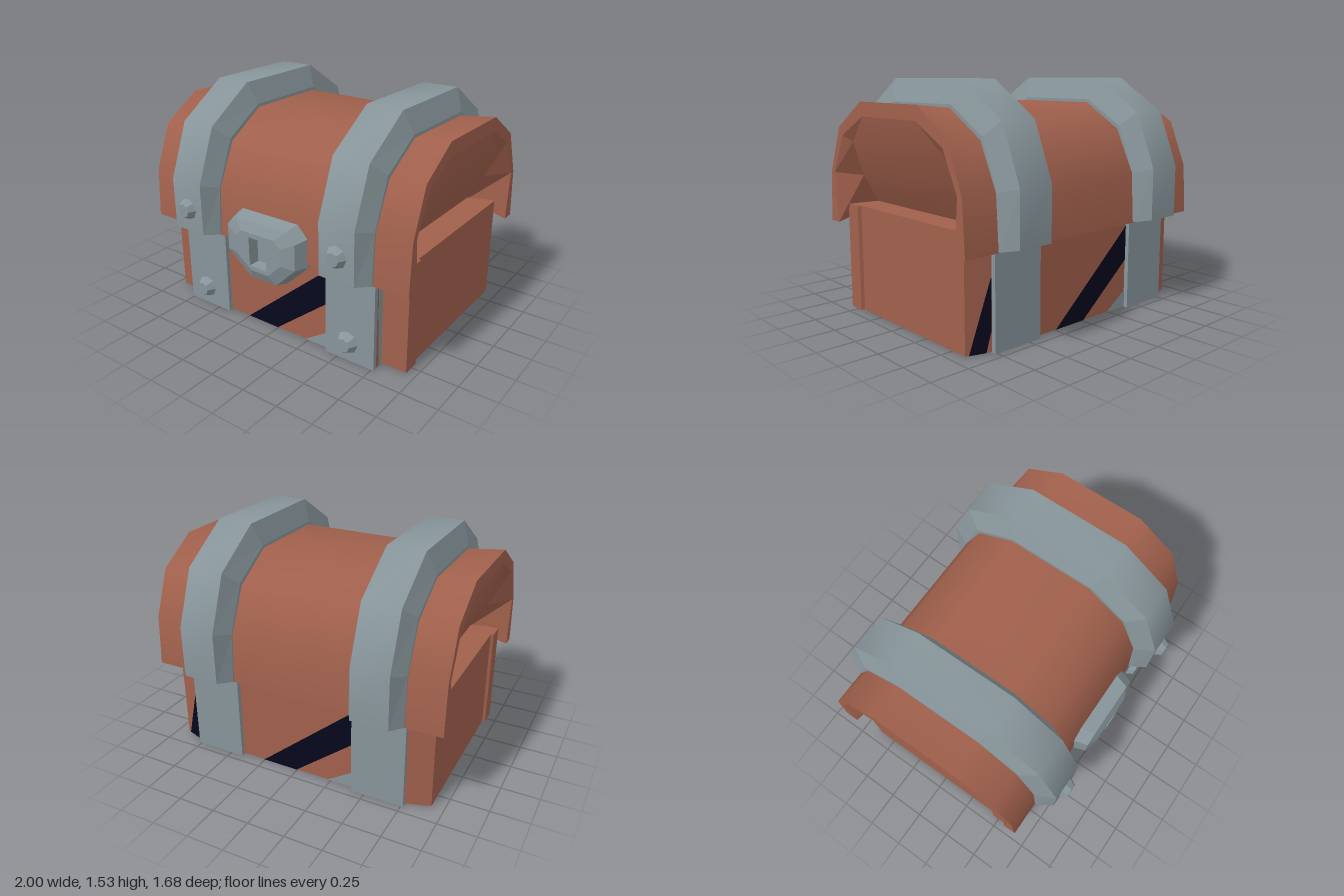
import * as THREE from 'three';

const wood = new THREE.MeshStandardMaterial({ color: 0xa0604c });
wood.name = 'wood';
const iron = new THREE.MeshStandardMaterial({ color: 0x87959a });
iron.name = 'iron';
const navy = new THREE.MeshStandardMaterial({ color: 0x07071e });
navy.name = 'navy';

const CZ = -0.02; // middle of the chest in z

// Skin a row of cross-sections, each with the same number of points
function skin(rings, smooth = false) {
  const n = rings[0].length, index = [];
  for (let i = 0; i < rings.length - 1; i++) {
    for (let j = 0; j < n - 1; j++) {
      const a = i * n + j, b = a + n;
      index.push(a, b, b + 1, a, b + 1, a + 1);
    }
  }
  let g = new THREE.BufferGeometry();
  g.setAttribute('position', new THREE.Float32BufferAttribute(rings.flat(2), 3));
  g.setIndex(index);
  if (!smooth) g = g.toNonIndexed();
  g.computeVertexNormals();
  return g;
}

// Arch section running from the front foot over the top to the back foot
function arch(half, xs) {
  const at = (k, s) => [Array.isArray(xs) ? xs[k] : xs, half[k][1], CZ + s * half[k][0]];
  const front = half.map((_, k) => at(k, 1));
  const back = half.map((_, k) => at(k, -1)).reverse();
  return [...front, ...back];
}

const flipX = ring => ring.map(([x, y, z]) => [-x, y, z]);

// Flat polygon, corners counter-clockwise seen from outside
function plate(points) {
  const index = [];
  for (let i = 1; i < points.length - 1; i++) index.push(0, i, i + 1);
  const g = new THREE.BufferGeometry();
  g.setAttribute('position', new THREE.Float32BufferAttribute(points.flat(), 3));
  g.setIndex(index);
  g.computeVertexNormals();
  return g;
}

export function createModel() {
  const model = new THREE.Group();
  model.name = 'chest';
  const add = (name, geometry, material, x = 0, y = 0, z = 0) => {
    const m = new THREE.Mesh(geometry, material);
    m.name = name;
    m.position.set(x, y, z);
    model.add(m);
  };

  // Body: plan outline with front corner posts, pulled upward
  const halfPlan = [
    [0.765, -0.67], [0.92, -0.62], [0.92, 0.445], [0.94, 0.455], [0.94, 0.57], [0.765, 0.57], [0.765, 0.63],
  ];
  const plan = [...halfPlan, ...halfPlan.map(([x, z]) => [-x, z]).reverse()]
    .map(([x, z]) => new THREE.Vector2(x, -z));
  const body = new THREE.ExtrudeGeometry(new THREE.Shape(plan), { depth: 0.705, bevelEnabled: false });
  body.rotateX(-Math.PI / 2);
  add('body', body, wood, 0, 0.005, 0);

  // Lid shell, rising a little at both ends
  const mid = [[0.71, 0.59], [0.69, 0.92], [0.56, 1.2], [0.29, 1.365]];
  const end = [[0.71, 0.59], [0.69, 0.92], [0.57, 1.22], [0.30, 1.39]];
  const midRing = arch(mid, 0.765), endRing = arch(end, 1);
  add('lidShell', skin([flipX(endRing), flipX(midRing), midRing, endRing], true), wood);
  add('lidUnderside', new THREE.BoxGeometry(1.6, 0.04, 1.38), wood, 0, 0.615, CZ);

  // Lid ends: rim, inner wall and a panel curving inward toward the bottom
  const rim = arch([[0.62, 0.59], [0.65, 0.92], [0.53, 1.17], [0.28, 1.3]], 1);
  const recess = arch([[0.55, 0.69], [0.52, 0.9], [0.47, 1.13], [0.28, 1.3]], [0.73, 0.86, 0.96, 1]);
  const panel = [recess.slice(0, 4), recess.slice(4).reverse()];
  add('lidRimLeft', skin([endRing, rim, recess]), wood);
  add('lidRimRight', skin([recess, rim, endRing].map(flipX)), wood);
  add('lidPanelLeft', skin(panel, true), wood);
  add('lidPanelRight', skin([panel[1], panel[0]].map(flipX), true), wood);

  // Bevelled lid straps seated in the lid, lower straps and rivets
  const strapSeat = [[0.66, 0.595], [0.64, 0.92], [0.53, 1.17], [0.28, 1.33]];
  const strapIn = [[0.72, 0.595], [0.70, 0.92], [0.575, 1.22], [0.30, 1.385]];
  const strapOut = [[0.82, 0.615], [0.82, 0.955], [0.68, 1.31], [0.34, 1.53]];
  const strap = [
    arch(strapSeat, -0.177), arch(strapIn, -0.177), arch(strapOut, -0.122),
    arch(strapOut, 0.122), arch(strapIn, 0.177), arch(strapSeat, 0.177),
  ];
  const foot = j => strap.map(r => r[j]);
  for (const side of [1, -1]) {
    const x = side * 0.588;
    add('lidStrapFace', skin(strap.slice(2, 4), true), iron, x);
    add('lidStrapSide', skin(strap.slice(0, 3)), iron, x);
    add('lidStrapSide', skin(strap.slice(3)), iron, x);
    add('strapFootFront', plate(foot(0)), iron, x);
    add('strapFootBack', plate(foot(7).reverse()), iron, x);
    add('lowerStrap', new THREE.BoxGeometry(0.354, 0.61, 1.36), iron, x, 0.305, CZ);
    for (const [y, z] of [[0.77, 0.82], [0.145, 0.705]]) {
      const rivet = new THREE.CylinderGeometry(0.045, 0.074, 0.05, 8).toNonIndexed();
      rivet.rotateX(Math.PI / 2);
      rivet.computeVertexNormals();
      add('rivet', rivet, iron, x, y, z);
    }
  }

  // Lock plate with a recessed keyhole
  const outline = [
    [-0.3, 0.56], [-0.3, 0.75], [-0.22, 0.825], [0.22, 0.825],
    [0.295, 0.75], [0.295, 0.56], [0.13, 0.4], [-0.1, 0.4],
  ];
  const hole = [
    [-0.07, 0.57], [-0.07, 0.66], [-0.07, 0.71], [0.065, 0.71],
    [0.065, 0.66], [0.065, 0.57], [0.065, 0.515], [-0.07, 0.515],
  ];
  const loop = (pts, s, z) => [...pts, pts[0]].map(([x, y]) => [x * s, 0.615 + (y - 0.615) * s, z]);
  add('lockPlate', skin([
    loop(outline, 1, 0.6), loop(outline, 1, 0.68), loop(outline, 0.9, 0.77),
    loop(outline, 0.6, 0.8), loop(hole, 1, 0.8), loop(hole, 1, 0.71),
  ]), iron);
  add('keyholeBack', new THREE.BoxGeometry(0.15, 0.21, 0.02), iron, 0, 0.612, 0.71);
  add('keyholeStep', new THREE.BoxGeometry(0.1, 0.17, 0.02), iron, 0.012, 0.612, 0.725);

  // Painted diagonals on front and back
  const band = [[-0.25, 0.005], [0, 0.005], [0.41, 0.33], [0.41, 0.56]];
  const corner = [[0.23, 0.005], [0.41, 0.005], [0.41, 0.12]];
  for (const [pts, mat, name] of [[band, navy, 'navyBand'], [corner, iron, 'ironCorner']]) {
    add(name + 'Front', plate(pts.map(([x, y]) => [x, y, 0.634])), mat);
    add(name + 'Back', plate(pts.map(([x, y]) => [-x, y, -0.674])), mat);
  }

  // Sliver on the slanted back face beside the strap
  const sliver = [[0.90, 0.005], [0.80, 0.005], [0.77, 0.13], [0.77, 0.45]];
  add('navySliver', plate(sliver.map(([x, y]) => [x, y, -0.624 - (0.92 - x) * 0.323])), navy);

  // Painted diagonals underneath
  const under = (name, pts, mat) => add(name, plate(pts.map(([x, z]) => [x, 0.002, z])), mat);
  under('navyBandUnderBack', [[0.41, -0.2], [0.41, 0.08], [-0.1, -0.67], [0.15, -0.67]], navy);
  under('navyBandUnderFront', [[-0.41, 0.1], [-0.41, -0.2], [0.1, 0.63], [-0.15, 0.63]], navy);
  under('ironBandUnder', [
    [0.41, 0.63], [0.28, 0.63], [-0.41, -0.45], [-0.41, -0.67], [-0.28, -0.67], [0.41, 0.45],
  ], iron);
  under('navyBandUnderEnd', [[0.765, 0.2], [0.765, -0.1], [0.83, -0.62], [0.89, -0.62]], navy);

  return model;
}
